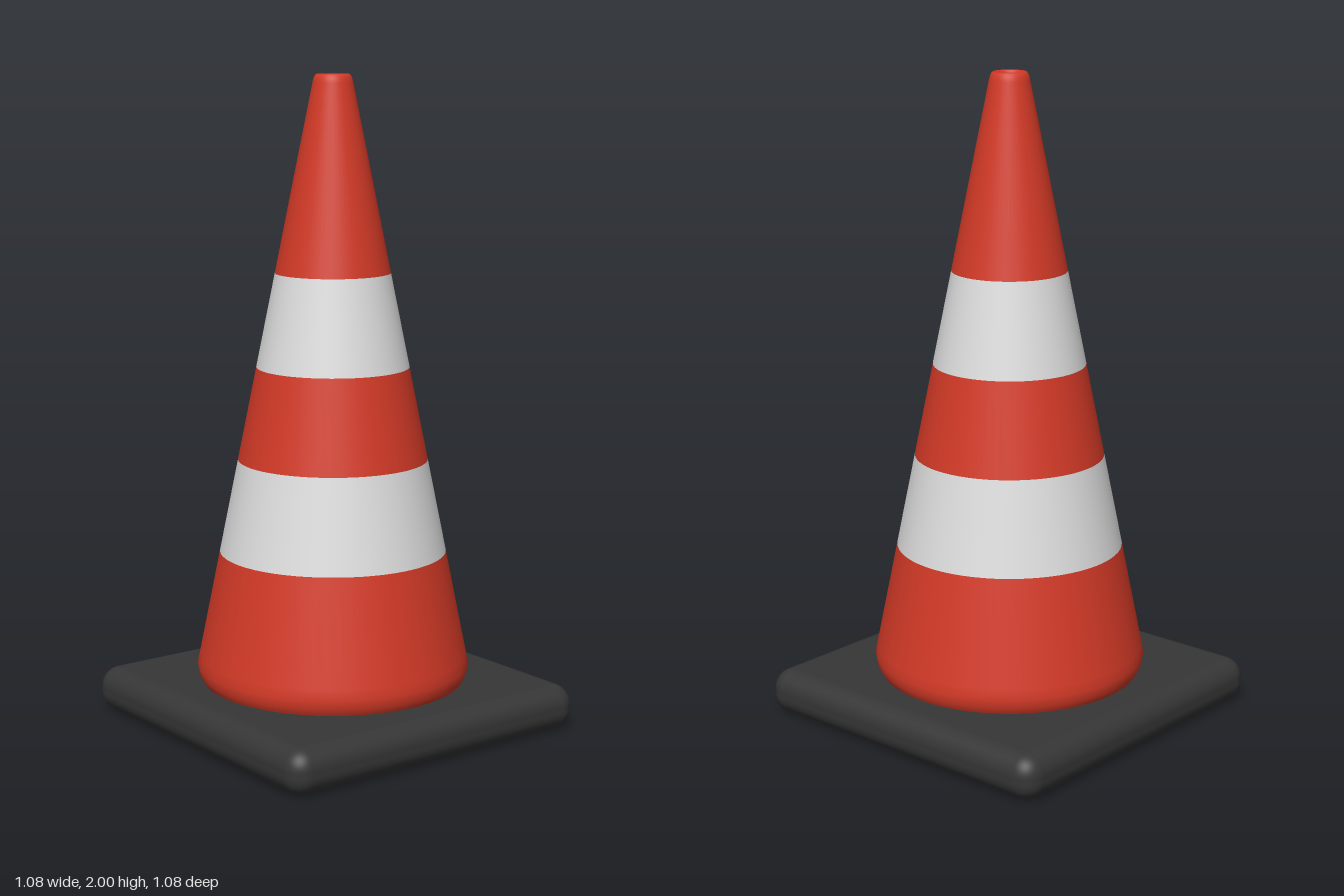
import * as THREE from 'three';
import { RoundedBoxGeometry } from 'three/addons/geometries/RoundedBoxGeometry.js';

const material = (name, color) => new THREE.MeshStandardMaterial({ name, color });

export function createModel() {
  const orange = material('orange red', 0xd43a27);
  const white = material('reflective white', 0xdedede);
  const black = material('black rubber', 0x363636);
  const group = new THREE.Group();
  group.name = 'trafficCone';

  const add = (name, geometry, mat) => {
    const mesh = new THREE.Mesh(geometry, mat);
    mesh.name = name;
    group.add(mesh);
    return mesh;
  };
  const lathe = (points) =>
    new THREE.LatheGeometry(points.map(([r, y]) => new THREE.Vector2(r, y)), 64);

  // Square rubber base with rounded edges
  add('base', new RoundedBoxGeometry(1.08, 0.14, 1.08, 6, 0.062), black).position.y = 0.07;

  // Straight outer wall, narrowing towards the tip
  const radius = (y) => 0.421 - (y - 0.19) * 0.2016;
  const wall = (y0, y1) => [[radius(y0), y0], [radius(y1), y1]];

  // Lower section with a tucked-in foot
  add('lowerSection', lathe([[0.4, 0.13], [0.408, 0.145], [0.417, 0.162], [0.421, 0.19],
    [radius(0.22), 0.22], [radius(0.545), 0.545]]), orange);

  // Alternating bands
  add('lowerStripe', lathe(wall(0.545, 0.832)), white);
  add('middleSection', lathe(wall(0.832, 1.118)), orange);
  add('upperStripe', lathe(wall(1.118, 1.405)), white);

  // Upper section with a rounded rim around the open tip
  add('upperSection', lathe([...wall(1.405, 1.975), [0.058, 1.988], [0.053, 1.997], [0.048, 2],
    [0.043, 1.997], [0.04, 1.988], [0.04, 1.97]]), orange);

  // Hollow inside
  add('innerWall', lathe([[0.04, 1.97], [0.39, 0.135]]), orange);

  return group;
}
